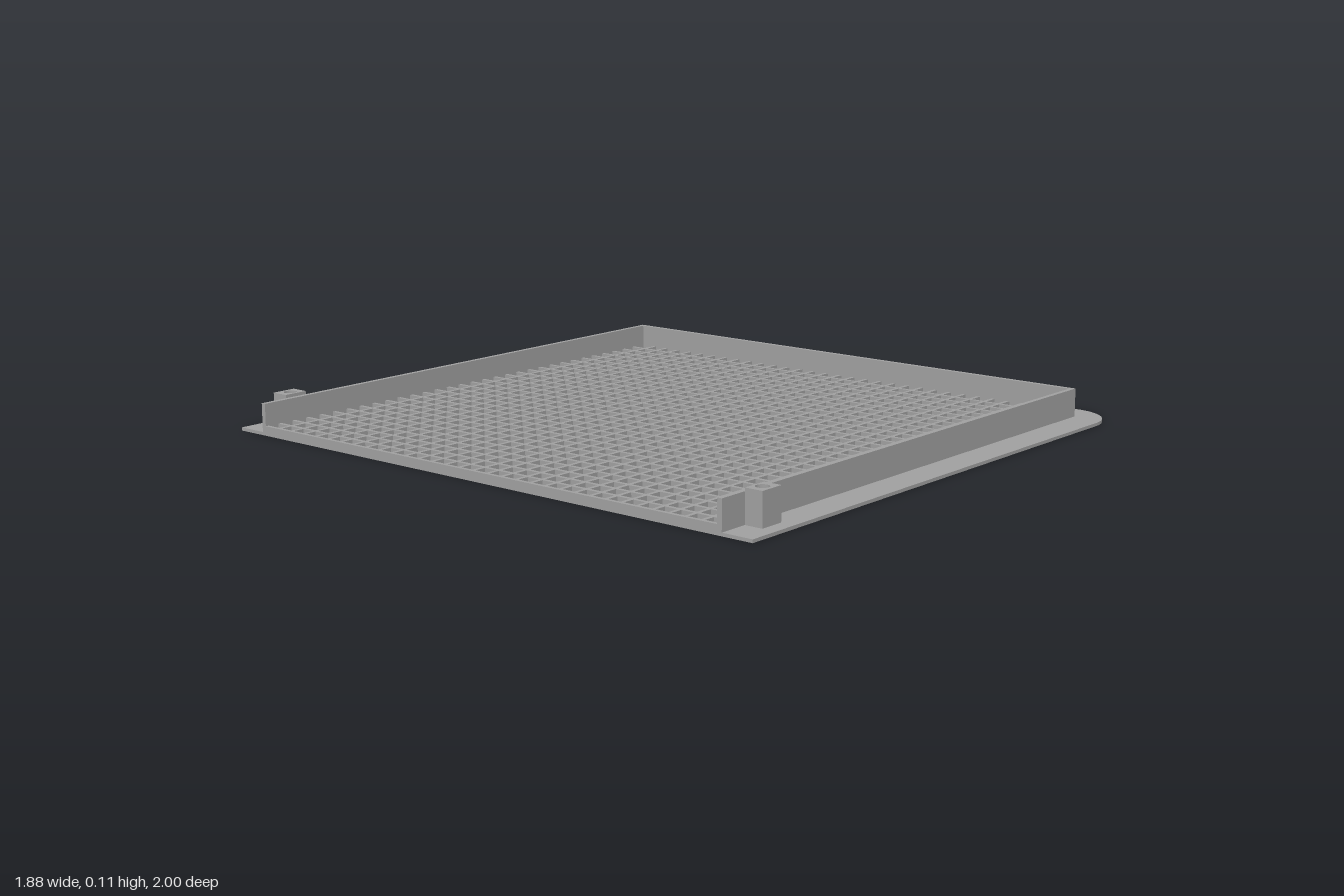
import * as THREE from 'three';

export function createModel() {
  const model = new THREE.Group();
  const grey = new THREE.MeshStandardMaterial({ color: 0xa0a0a0 });
  grey.name = 'grey plastic';

  const left = -0.94, right = 0.94, half = 1, radius = 0.14;
  const innerX = 0.825, innerZ = 0.885, wall = 0.015;
  const plateH = 0.01, gridH = 0.03, wallH = 0.1, clipH = 0.11;

  function add(name, geometry, parent = model) {
    const mesh = new THREE.Mesh(geometry, grey);
    mesh.name = name;
    parent.add(mesh);
    return mesh;
  }
  // Box given by its limits on each axis
  function box(name, x0, x1, y0, y1, z0, z1, parent) {
    const mesh = add(name, new THREE.BoxGeometry(x1 - x0, y1 - y0, z1 - z0), parent);
    mesh.position.set((x0 + x1) / 2, (y0 + y1) / 2, (z0 + z1) / 2);
    return mesh;
  }
  // Plan shape (x, -z) raised from y0 to y1
  function raise(name, shape, y0, y1) {
    const geo = new THREE.ExtrudeGeometry(shape, { depth: y1 - y0, bevelEnabled: false, curveSegments: 16 });
    geo.rotateX(-Math.PI / 2);
    geo.translate(0, y0, 0);
    return add(name, geo);
  }

  // Thin U-shaped flange, rounded at the two closed corners
  const u = new THREE.Shape();
  u.moveTo(left, -half);
  u.lineTo(right - radius, -half);
  u.absarc(right - radius, -half + radius, radius, -Math.PI / 2, 0, false);
  u.lineTo(right, half - radius);
  u.absarc(right - radius, half - radius, radius, 0, Math.PI / 2, false);
  u.lineTo(left, half);
  u.lineTo(left, innerZ);
  u.lineTo(innerX, innerZ);
  u.lineTo(innerX, -innerZ);
  u.lineTo(left, -innerZ);
  u.closePath();
  raise('flange', u, 0, plateH);

  // Upright walls on three sides
  box('endWall', innerX, innerX + wall, plateH, wallH, -innerZ - wall, innerZ + wall);
  for (const s of [-1, 1]) {
    const z = s * (innerZ + wall / 2);
    box('sideWall', left, innerX, plateH, wallH, z - wall / 2, z + wall / 2);
  }

  // Open lattice of crossing ribs
  const lattice = new THREE.Group();
  lattice.name = 'lattice';
  model.add(lattice);
  const cells = 32, rib = 0.012;
  for (let i = 0; i <= cells; i++) {
    const t = i / cells;
    const x = Math.max(left + rib / 2, left + t * (innerX - left));
    const z = -innerZ + t * 2 * innerZ;
    if (i < cells) box('crossRib', x - rib / 2, x + rib / 2, 0, gridH, -innerZ, innerZ, lattice);
    if (i > 0 && i < cells) box('longRib', left, innerX, 0, gridH, z - rib / 2, z + rib / 2, lattice);
  }

  // Drilled block outside each side wall, near the open end
  for (const s of [-1, 1]) {
    const block = new THREE.Shape();
    const near = Math.min(s * 0.9, s * 0.957), far = Math.max(s * 0.9, s * 0.957);
    block.moveTo(-0.845, near);
    block.lineTo(-0.765, near);
    block.lineTo(-0.765, far);
    block.lineTo(-0.845, far);
    block.closePath();
    const hole = new THREE.Path();
    hole.absarc(-0.805, s * 0.926, 0.02, 0, Math.PI * 2, true);
    block.holes.push(hole);
    raise('mountBlock', block, plateH, clipH);
  }

  return model;
}
